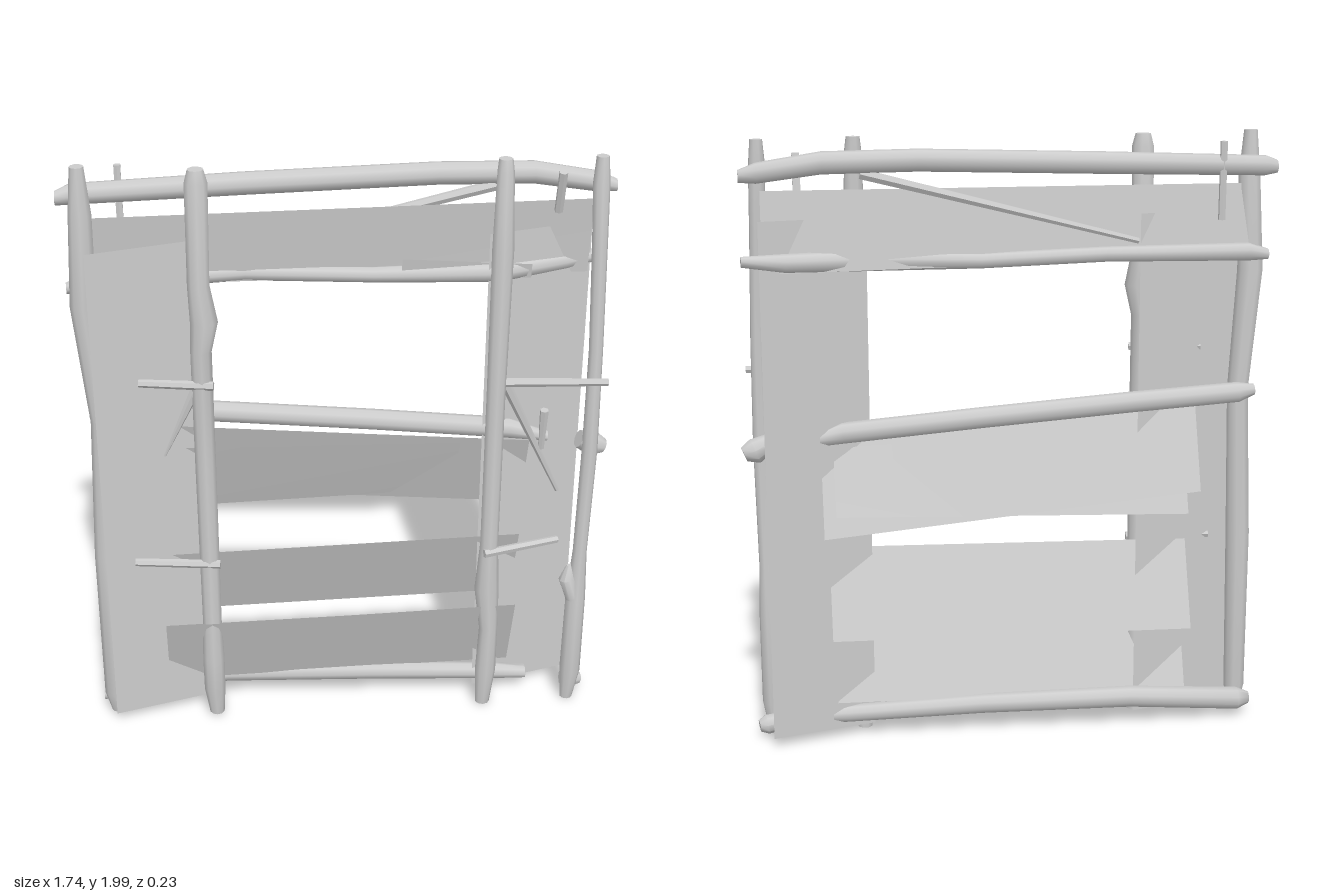
import * as THREE from 'three';
import { mergeVertices, toCreasedNormals } from 'three/addons/utils/BufferGeometryUtils.js';

const wood = new THREE.MeshStandardMaterial({ color: 0xcccccc, side: THREE.DoubleSide });
wood.name = 'plain wood';

export function createModel() {
  const model = new THREE.Group();

  function add(name, geometry) {
    const mesh = new THREE.Mesh(geometry, wood);
    mesh.name = name;
    model.add(mesh);
  }

  // Uneven log: each station is [x, y, z, radius]
  function log(name, stations, sides = 9) {
    const n = stations.length - 1;
    let g = new THREE.CylinderGeometry(1, 1, 1, sides, n);
    const pts = stations.map(s => new THREE.Vector3(s[0], s[1], s[2]));
    const dir = pts[n].clone().sub(pts[0]).normalize();
    const q = new THREE.Quaternion().setFromUnitVectors(new THREE.Vector3(0, 1, 0), dir);
    const p = g.attributes.position;
    const v = new THREE.Vector3();
    for (let i = 0; i < p.count; i++) {
      const k = Math.round((p.getY(i) + 0.5) * n);
      v.set(p.getX(i), 0, p.getZ(i)).multiplyScalar(stations[k][3]).applyQuaternion(q).add(pts[k]);
      p.setXYZ(i, v.x, v.y, v.z);
    }
    g.deleteAttribute('normal');
    g.deleteAttribute('uv');
    g = mergeVertices(g);
    add(name, toCreasedNormals(g, 0.9));
  }

  // Thin board: top left, top right, bottom left, bottom right
  function board(name, ...corners) {
    const g = new THREE.PlaneGeometry(1, 1);
    corners.forEach((c, i) => g.attributes.position.setXYZ(i, ...c));
    g.computeVertexNormals();
    add(name, g);
  }

  // Upright boards, turned slightly
  board('rightSideBoard', [-0.785, 1.74, 0.083], [-0.42, 1.74, -0.02], [-0.785, 0.04, 0.083], [-0.42, 0.04, -0.02]);
  board('leftSideBoard', [0.46, 1.74, 0.015], [0.80, 1.74, -0.075], [0.46, 0.04, 0.015], [0.80, 0.04, -0.075]);

  // Cross boards, leaning
  board('topBoard', [-0.8, 1.83, 0.015], [0.79, 1.83, -0.03], [-0.8, 1.6, -0.015], [0.79, 1.575, -0.06]);
  board('topPatchBoard', [0.19, 1.66, 0.0], [0.6, 1.63, 0.0], [0.19, 1.6, -0.01], [0.6, 1.58, -0.01]);
  board('middleBoard', [-0.62, 1.12, 0.01], [0.62, 1.01, 0.01], [-0.62, 0.83, -0.095], [0.62, 0.72, -0.095]);
  board('middleBackingBoard', [-0.58, 1.03, 0.005], [0.58, 1.0, 0.0], [-0.58, 0.755, -0.095], [0.58, 0.79, -0.085]);
  board('lowerBoard', [-0.6, 0.635, 0.022], [0.6, 0.66, 0.025], [-0.6, 0.35, -0.085], [0.6, 0.37, -0.085]);
  board('bottomBoard', [-0.6, 0.40, 0.1], [0.585, 0.425, 0.1], [-0.6, 0.11, -0.01], [0.585, 0.13, -0.01]);
  board('bottomBackingBoard', [-0.6, 0.395, 0.085], [0.585, 0.41, 0.085], [-0.6, 0.11, -0.02], [0.585, 0.13, -0.02]);

  // Upright posts
  log('rightOuterPost', [[-0.785, 0.02, 0.025, 0.02], [-0.79, 0.1, 0.03, 0.035], [-0.785, 0.65, 0.025, 0.04],
    [-0.77, 1.15, 0.025, 0.035], [-0.8, 1.55, 0.025, 0.042], [-0.79, 1.85, 0.03, 0.036], [-0.79, 2.0, 0.03, 0.022]]);
  log('rightInnerPost', [[-0.44, 0.02, 0.065, 0.025], [-0.445, 0.12, 0.065, 0.036], [-0.445, 0.25, 0.07, 0.037],
    [-0.445, 0.4, 0.065, 0.032], [-0.445, 1.0, 0.065, 0.034], [-0.445, 1.4, 0.06, 0.034], [-0.432, 1.5, 0.06, 0.044],
    [-0.445, 1.62, 0.055, 0.035], [-0.44, 1.95, 0.055, 0.036], [-0.44, 1.99, 0.055, 0.025]]);
  log('leftInnerPost', [[0.49, 0.01, 0.07, 0.025], [0.495, 0.15, 0.075, 0.036], [0.5, 0.32, 0.07, 0.032],
    [0.488, 0.48, 0.07, 0.042], [0.49, 0.65, 0.07, 0.031], [0.49, 1.2, 0.07, 0.031], [0.495, 1.7, 0.05, 0.035],
    [0.495, 1.95, 0.04, 0.027], [0.495, 1.99, 0.035, 0.022]]);
  log('leftOuterPost', [[0.79, 0.01, 0.065, 0.022], [0.797, 0.12, 0.065, 0.036], [0.8, 0.42, 0.06, 0.034],
    [0.805, 0.6, 0.055, 0.024], [0.81, 1.0, 0.065, 0.026], [0.81, 1.35, 0.05, 0.023], [0.8, 1.7, 0.04, 0.025],
    [0.795, 1.9, 0.025, 0.027], [0.795, 1.985, 0.02, 0.02]]);

  // Rails
  log('topRail', [[-0.865, 1.885, -0.02, 0.022], [-0.82, 1.89, -0.04, 0.033], [-0.3, 1.905, -0.05, 0.036],
    [0.3, 1.92, -0.05, 0.036], [0.6, 1.915, -0.05, 0.036], [0.8, 1.885, -0.035, 0.033], [0.855, 1.875, -0.025, 0.02]]);
  log('upperRail', [[-0.85, 1.6, 0.0, 0.018], [-0.78, 1.61, -0.015, 0.03], [-0.3, 1.615, -0.045, 0.025],
    [0.1, 1.6, -0.03, 0.025], [0.5, 1.605, -0.01, 0.034], [0.72, 1.61, -0.075, 0.03], [0.855, 1.62, -0.1, 0.017]]);
  log('middleRail', [[-0.81, 1.155, -0.03, 0.018], [-0.75, 1.15, -0.045, 0.034], [-0.4, 1.13, -0.05, 0.035],
    [0.1, 1.09, -0.03, 0.035], [0.55, 1.05, -0.01, 0.035], [0.68, 1.02, 0.0, 0.018]]);
  log('bottomRail', [[-0.83, 0.06, -0.01, 0.02], [-0.78, 0.07, -0.035, 0.038], [-0.4, 0.105, -0.048, 0.036],
    [0.1, 0.1, -0.02, 0.033], [0.55, 0.085, 0.0, 0.029], [0.65, 0.08, 0.005, 0.024]]);

  // Knots on the left outer post
  log('middleKnot', [[0.78, 1.02, 0.03, 0.03], [0.83, 0.995, 0.02, 0.042], [0.865, 0.985, 0.02, 0.025]]);
  log('bottomKnot', [[0.78, 0.06, 0.03, 0.03], [0.82, 0.055, 0.02, 0.033], [0.845, 0.05, 0.02, 0.02]]);
  log('sideKnot', [[0.77, 0.55, 0.06, 0.008], [0.765, 0.5, 0.065, 0.028], [0.79, 0.42, 0.065, 0.025]]);

  // Twigs: [start, end, start radius, end radius]
  const twigs = [
    [[-0.645, 1.29, 0.05], [-0.41, 1.29, 0.09], 0.013, 0.015],
    [[-0.46, 1.28, 0.06], [-0.575, 1.02, 0.035], 0.018, 0.004],
    [[-0.69, 0.637, 0.06], [-0.41, 0.633, 0.09], 0.013, 0.015],
    [[0.52, 1.255, 0.07], [0.85, 1.25, 0.085], 0.015, 0.012],
    [[0.52, 1.25, 0.06], [0.73, 0.8, -0.02], 0.017, 0.007],
    [[0.66, 1.13, 0.03], [0.66, 0.98, 0.01], 0.015, 0.01],
    [[0.47, 0.635, 0.1], [0.73, 0.637, 0.03], 0.015, 0.013],
    [[-0.675, 1.97, -0.065], [-0.675, 1.72, -0.06], 0.012, 0.012],
    [[0.675, 1.94, 0.03], [0.675, 1.8, -0.01], 0.014, 0.014],
    [[0.48, 1.88, -0.04], [-0.4, 1.66, -0.075], 0.018, 0.01],
  ];
  twigs.forEach(([a, b, ra, rb], i) => log('twig' + (i + 1), [[...a, ra], [...b, rb]], 6));

  return model;
}
